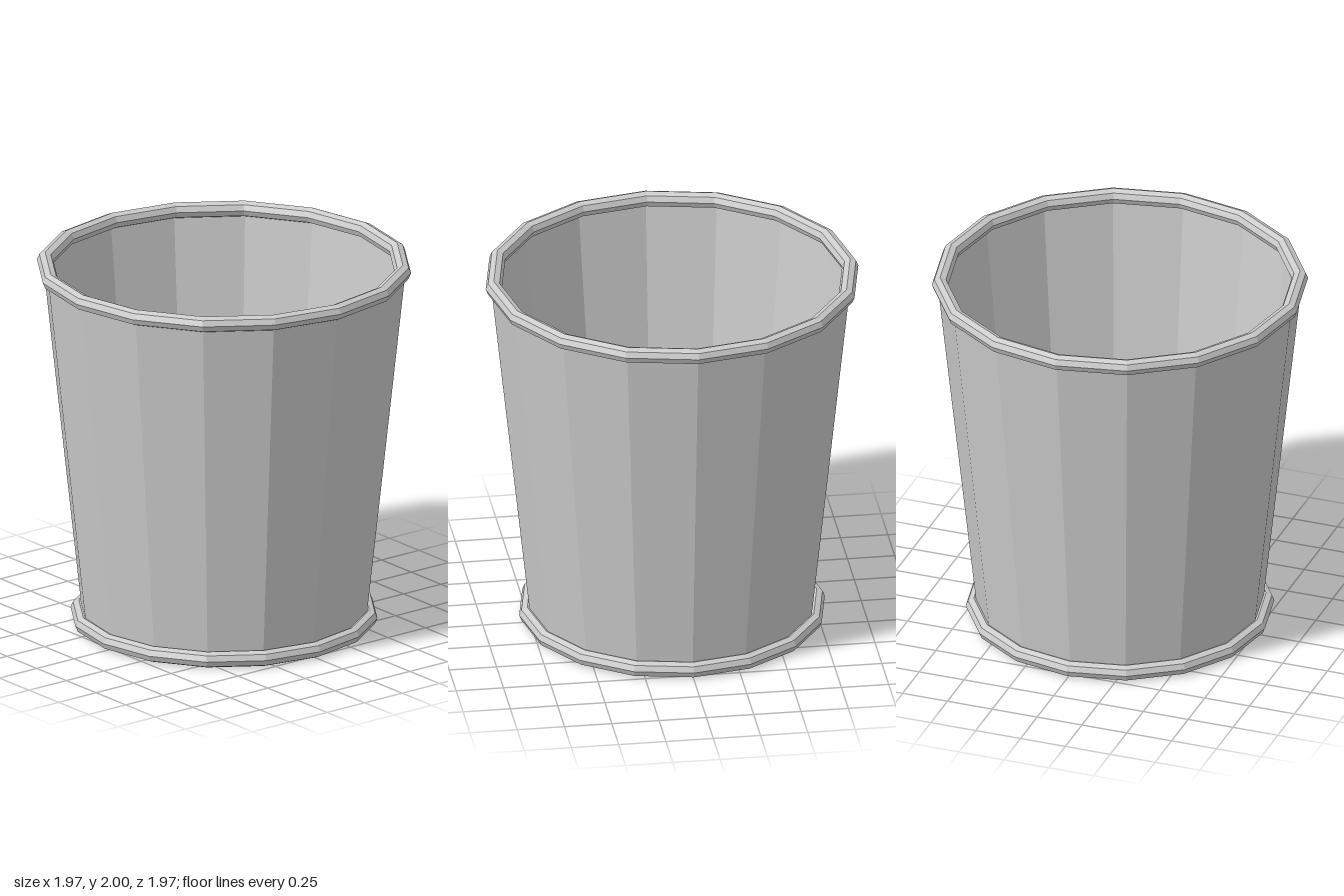
import * as THREE from 'three';

const SIDES = 16;

export function createModel() {
  const group = new THREE.Group();
  const material = new THREE.MeshStandardMaterial({ color: 0xcccccc, flatShading: true });
  const sheet = new THREE.MeshStandardMaterial({ color: 0xcccccc, flatShading: true, side: THREE.DoubleSide });

  const add = (name, geometry, mat, y) => {
    const mesh = new THREE.Mesh(geometry, mat);
    mesh.name = name;
    mesh.position.y = y;
    group.add(mesh);
  };
  const ring = (radius, tube) => new THREE.TorusGeometry(radius, tube, 8, SIDES).rotateX(Math.PI / 2);

  // Tapered thin wall, open at both ends
  add('wall', new THREE.CylinderGeometry(0.955, 0.75, 1.914, SIDES, 1, true), sheet, 1);

  // Flat floor at the middle of the base ring
  add('floor', new THREE.CircleGeometry(0.75, SIDES).rotateX(-Math.PI / 2), sheet, 0.043);

  // Rolled rings around the mouth and the base
  add('topRim', ring(0.942, 0.043), material, 1.957);
  add('baseRim', ring(0.765, 0.043), material, 0.043);

  return group;
}
